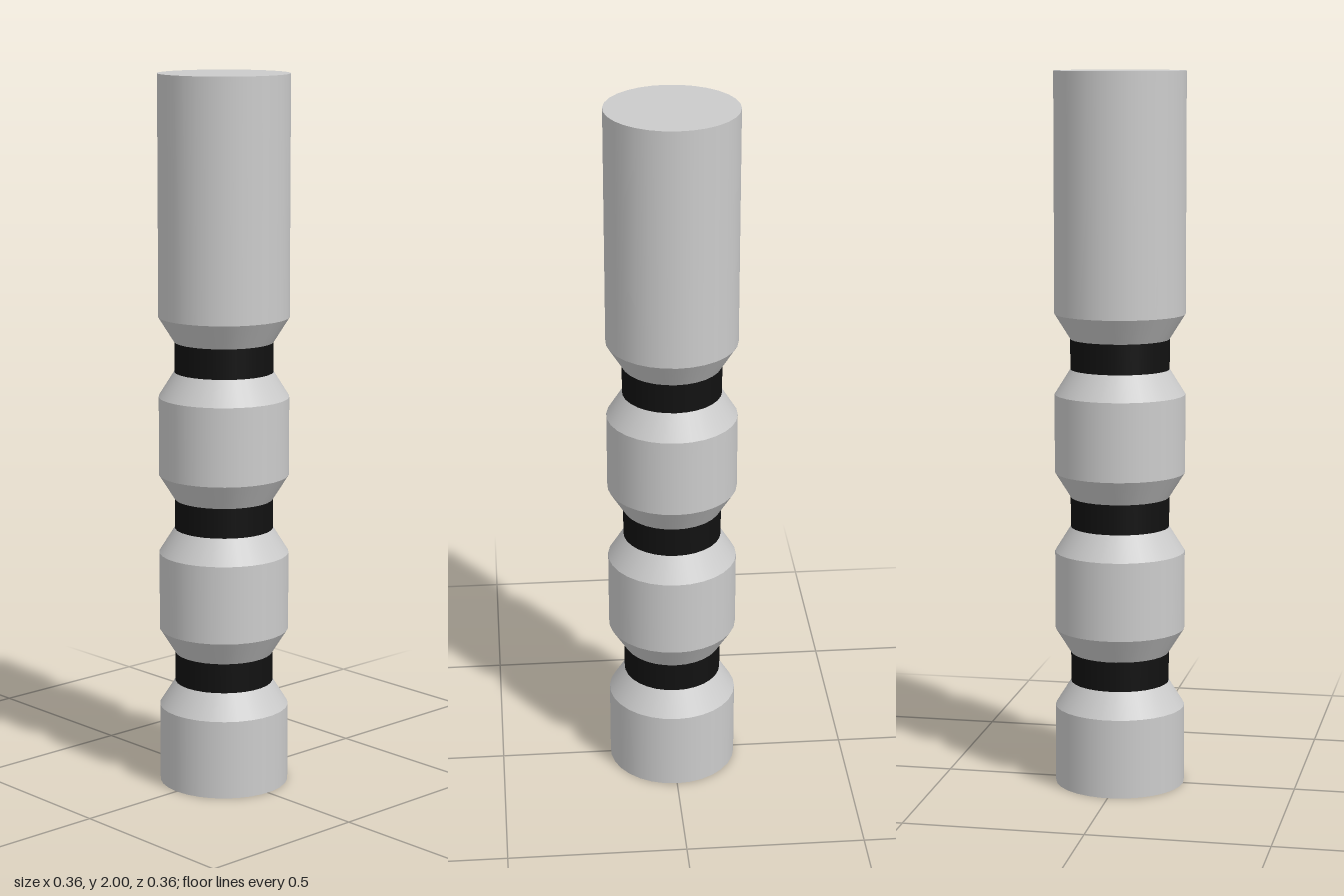
import * as THREE from 'three';

const SEGMENTS = 30;
const R = 0.182;        // full radius
const NECK = 0.138;     // radius inside the grooves
const BAND = 0.042;     // half height of a dark band
const GROOVE = 0.112;   // half height of a groove, tapers included
const CENTRES = [0.335, 0.779, 1.223];

export function createModel() {
  const group = new THREE.Group();
  const grey = new THREE.MeshStandardMaterial({ color: 0xcccccc });
  const black = new THREE.MeshStandardMaterial({ color: 0x111111 });

  // One open ring of wall from y0 to y1
  function section(name, r0, r1, y0, y1, material = grey) {
    const geometry = new THREE.CylinderGeometry(r1, r0, y1 - y0, SEGMENTS, 1, true);
    const mesh = new THREE.Mesh(geometry, material);
    mesh.position.y = (y0 + y1) / 2;
    mesh.name = name;
    group.add(mesh);
  }

  // Flat end disc, its rim lined up with the walls
  function cap(name, y, tilt) {
    const mesh = new THREE.Mesh(new THREE.CircleGeometry(R, SEGMENTS, Math.PI / 2), grey);
    mesh.rotation.x = tilt;
    mesh.position.y = y;
    mesh.name = name;
    group.add(mesh);
  }

  // Body sections separated by tapered grooves with dark bands
  let y = 0;
  CENTRES.forEach((c, i) => {
    section('bodySection' + (i + 1), R, R, y, c - GROOVE);
    section('lowerTaper' + (i + 1), R, NECK, c - GROOVE, c - BAND);
    section('darkBand' + (i + 1), NECK, NECK, c - BAND, c + BAND, black);
    section('upperTaper' + (i + 1), NECK, R, c + BAND, c + GROOVE);
    y = c + GROOVE;
  });
  section('topSection', R, R, y, 2);

  cap('topCap', 2, -Math.PI / 2);
  cap('bottomCap', 0, Math.PI / 2);
  return group;
}
